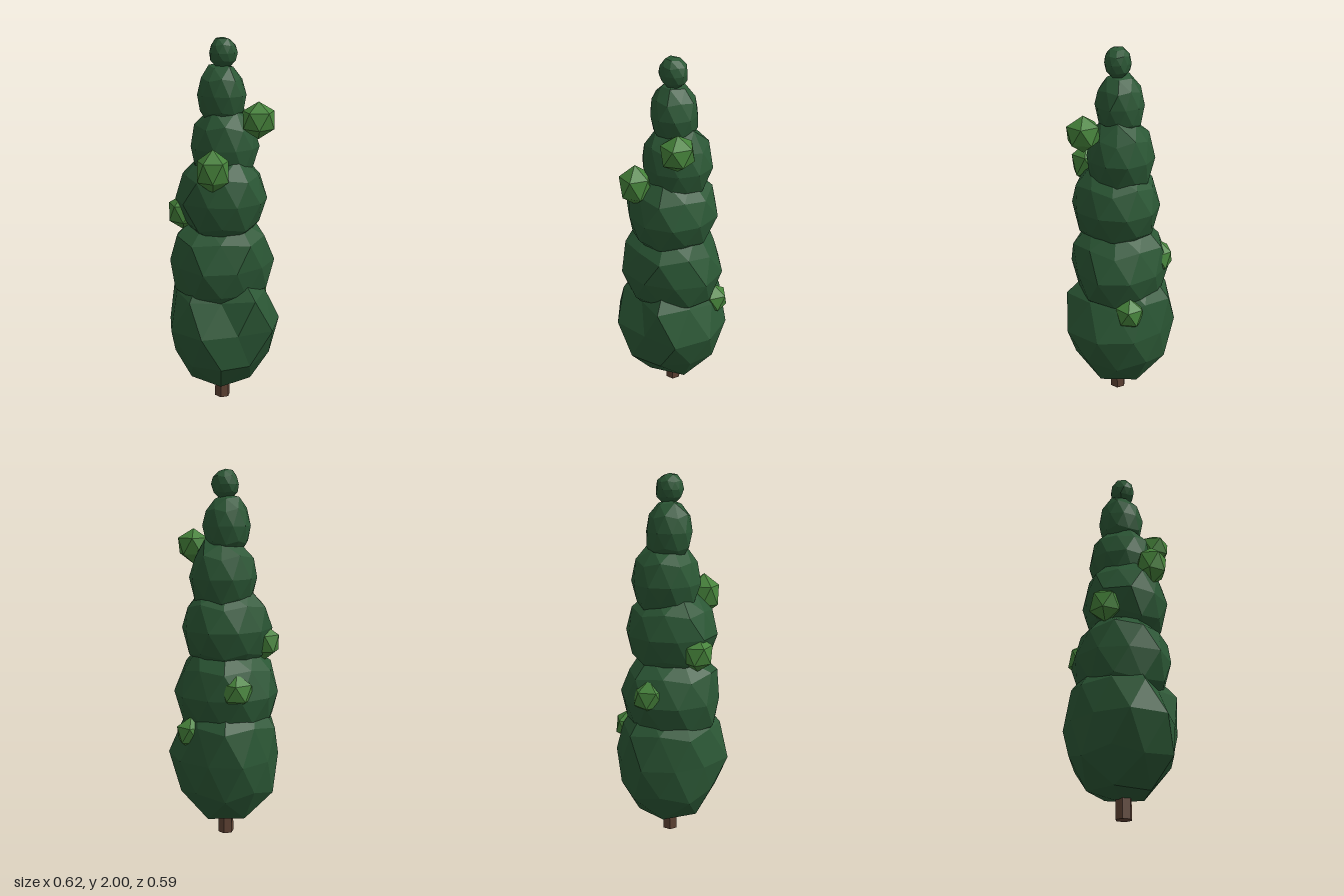
import * as THREE from 'three';

const foliage = new THREE.MeshStandardMaterial({ color: 0x2b5735 });
foliage.name = 'dark green foliage';
const fresh = new THREE.MeshStandardMaterial({ color: 0x46833b });
fresh.name = 'light green tufts';
const bark = new THREE.MeshStandardMaterial({ color: 0x5f4334 });
bark.name = 'brown bark';
for (const m of [foliage, fresh, bark]) m.flatShading = true;

// Repeatable noise from a vertex position, so shared corners move together
function noise(x, y, z, seed) {
  const [a, b, c] = [x, y, z].map((v) => Math.round(v * 100));
  const s = Math.sin(a * 12.9898 + b * 78.233 + c * 37.719 + seed * 51.37) * 43758.5453;
  return (s - Math.floor(s)) * 2 - 1;
}

// Faceted ball standing on a pole: two staggered rings of five between the poles
function ball(detail) {
  const verts = [0, 1, 0];
  const ring = (start, y) => {
    for (let k = 0; k < 5; k++) {
      const a = start + (k * Math.PI * 2) / 5;
      verts.push(0.8944 * Math.cos(a), y, 0.8944 * Math.sin(a));
    }
  };
  ring(0, 0.4472);
  ring(Math.PI / 5, -0.4472);
  verts.push(0, -1, 0);
  const faces = [];
  for (let k = 0; k < 5; k++) {
    const n = (k + 1) % 5;
    const [u, un, l, ln] = [1 + k, 1 + n, 6 + k, 6 + n];
    faces.push(0, un, u, u, un, l, l, un, ln, 11, l, ln);
  }
  return new THREE.PolyhedronGeometry(verts, faces, 1, detail);
}

// Swelling of the lowest tier's corners: rings at height y, from angle start (degrees)
const skirt = [
  { y: 0.526, start: 36, swell: [0.96, 0.84, 0.95, 0.97, 0.96] },
  { y: 0.447, start: 0, swell: [0.91, 1.1, 1.02, 0.98, 1.02] },
  { y: 0, start: 18, swell: [1.05, 1.1, 0.92, 1.08, 1.06, 0.9, 0.89, 0.97, 0.92, 0.98] },
  { y: -0.447, start: 36, swell: [1.01, 1.08, 0.95, 0.94, 0.97] },
  { y: -0.851, start: 36, swell: [1.07, 1.06, 1.05, 1.03, 1.05] },
];
function skirtSwell(x, y, z) {
  const ring = skirt.find((r) => Math.abs(r.y - y) < 0.02);
  if (!ring) return 1;
  const n = ring.swell.length;
  const deg = THREE.MathUtils.radToDeg(Math.atan2(z, x)) - ring.start + 720;
  return ring.swell[Math.round((deg * n) / 360) % n];
}

// Ball whose corners are moved in or out by a rule, then scaled and placed
function blob(name, material, detail, swell, [x, y, z], [rx, ry, rz]) {
  const geo = ball(detail);
  const p = geo.attributes.position;
  for (let i = 0; i < p.count; i++) {
    const [a, b, c] = [p.getX(i), p.getY(i), p.getZ(i)];
    const k = swell(a, b, c);
    p.setXYZ(i, a * k * rx, b * k * ry, c * k * rz);
  }
  geo.computeVertexNormals();
  const mesh = new THREE.Mesh(geo, material);
  mesh.name = name;
  mesh.position.set(x, y, z);
  return mesh;
}

export function createModel() {
  const tree = new THREE.Group();
  tree.name = 'tree';

  // Trunk, mostly hidden in the lowest tier
  const trunk = new THREE.Mesh(new THREE.CylinderGeometry(0.038, 0.044, 0.4, 6), bark);
  trunk.name = 'trunk';
  trunk.position.set(0.005, 0.2, 0.018);
  trunk.rotation.y = Math.PI / 6;
  tree.add(trunk);

  // Stacked foliage tiers: centre, radii
  const tiers = [
    [[0, 0.47, 0], [0.31, 0.38, 0.31]],
    [[-0.002, 0.815, 0.012], [0.284, 0.295, 0.268]],
    [[0, 1.165, 0.024], [0.24, 0.26, 0.232]],
    [[0.022, 1.438, 0.005], [0.184, 0.228, 0.178]],
    [[0.003, 1.708, 0.003], [0.126, 0.17, 0.126]],
    [[0.008, 1.92, 0.015], [0.073, 0.081, 0.069]],
  ];
  tiers.forEach(([c, r], i) => {
    const rough = (a, b, d) => 1 + 0.055 * noise(a, b, d, i + 1);
    tree.add(blob('foliageTier' + (i + 1), foliage, 1, i ? rough : skirtSwell, c, r));
  });

  // Light tufts poking out of the tiers
  const tufts = [
    [[0.143, 1.595, 0.175], [0.094, 0.096, 0.094]],
    [[-0.106, 1.35, 0.192], [0.093, 0.112, 0.09]],
    [[-0.195, 1.087, -0.045], [0.086, 0.097, 0.092]],
    [[0.006, 0.86, -0.204], [0.094, 0.094, 0.085]],
    [[0.22, 0.615, -0.066], [0.084, 0.09, 0.082]],
  ];
  tufts.forEach(([c, r], i) => {
    const rough = (a, b, d) => 1 + 0.03 * noise(a, b, d, i + 20);
    tree.add(blob('tuft' + (i + 1), fresh, 0, rough, c, r));
  });

  return tree;
}
